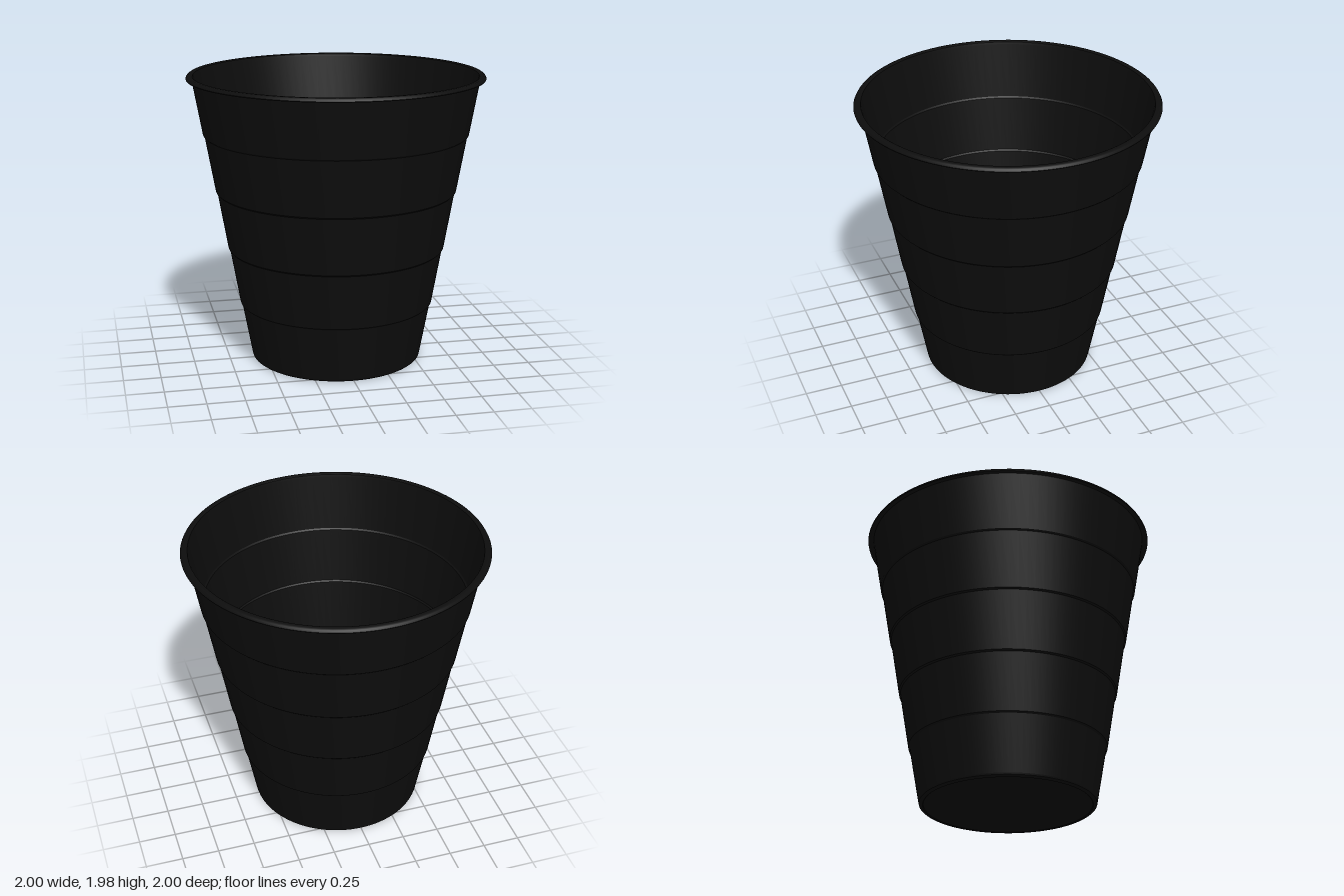
import * as THREE from 'three';
import { toCreasedNormals } from 'three/addons/utils/BufferGeometryUtils.js';

export function createModel() {
  const cup = new THREE.Group();
  cup.name = 'cup';
  const black = new THREE.MeshStandardMaterial({ color: 0x0d0d0d });
  black.name = 'black plastic';

  const addLathe = (name, profile) => {
    const points = profile.map(([r, y]) => new THREE.Vector2(r, y));
    const geometry = toCreasedNormals(new THREE.LatheGeometry(points, 96), 0.6);
    const mesh = new THREE.Mesh(geometry, black);
    mesh.name = name;
    cup.add(mesh);
  };

  // Stepped wall profile: five tapered bands, each slightly wider than the one below
  const bands = [
    [0.587, 0.02, 0.655, 0.39],
    [0.665, 0.40, 0.731, 0.78],
    [0.741, 0.79, 0.808, 1.18],
    [0.818, 1.19, 0.885, 1.57],
    [0.895, 1.58, 0.962, 1.955],
  ];
  const wall = bands.flatMap(([r0, y0, r1, y1]) => [[r0, y0], [r1, y1]]);

  // Underside with a rounded bottom edge
  addLathe('base', [[0, 0.004], [0.555, 0.004], [0.56, 0], [0.575, 0.002], [0.584, 0.009], [0.587, 0.02]]);
  addLathe('outerWall', wall);

  // Inner surface follows the same steps, running from the rim down
  const thickness = 0.012;
  const inner = wall.map(([r, y]) => [r - thickness, y]).reverse();
  addLathe('innerWall', inner);
  addLathe('floor', [[0.575, 0.02], [0, 0.02]]);

  // Flared lip, rounded on its outer edge
  addLathe('rim', [
    [0.962, 1.955], [0.972, 1.952], [0.998, 1.95], [1, 1.956],
    [0.993, 1.968], [0.982, 1.975], [0.962, 1.975], [0.953, 1.97], [0.95, 1.955],
  ]);
  return cup;
}
